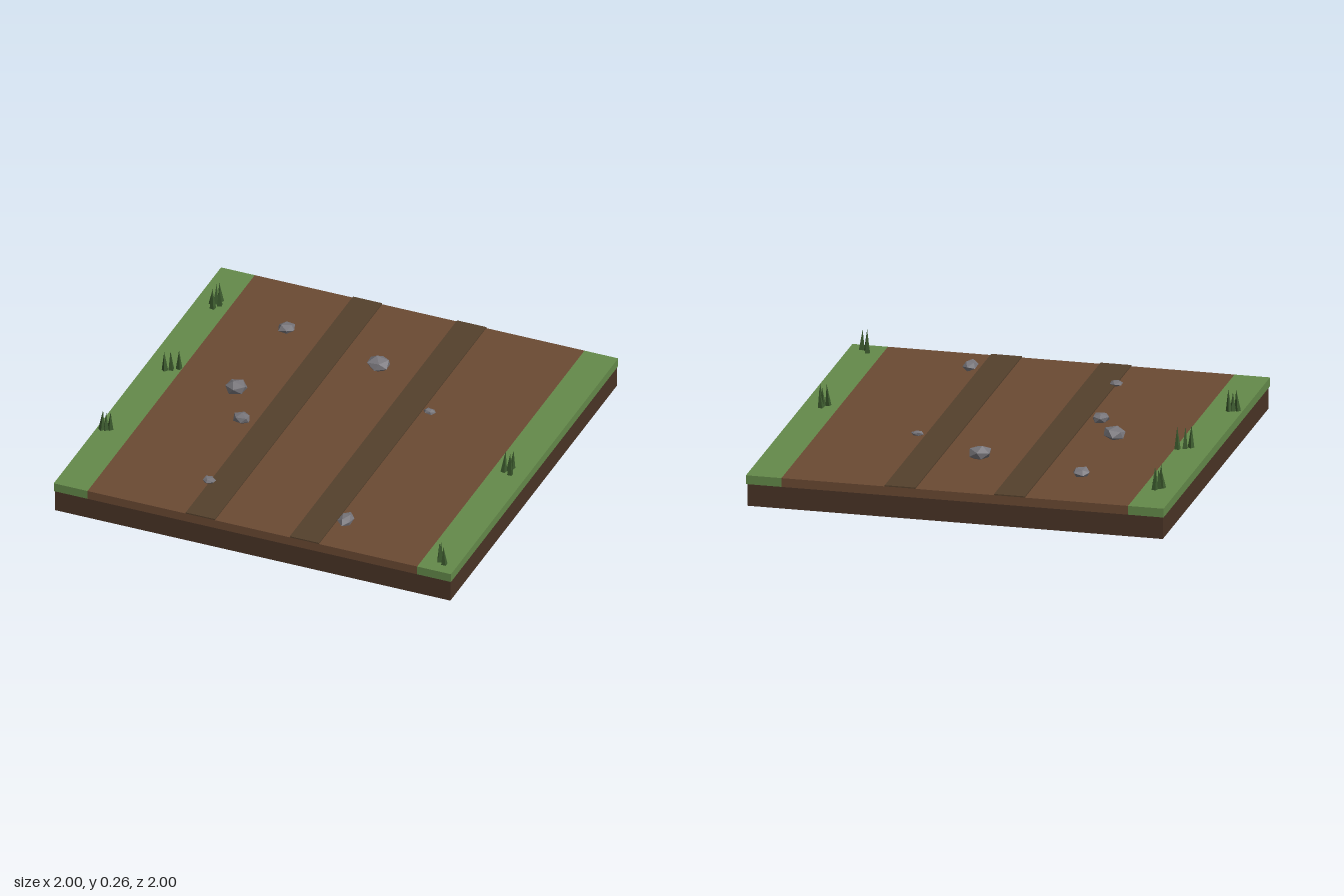
import * as THREE from 'three';

const paint = (color) => new THREE.MeshStandardMaterial({ color, flatShading: true });

export function createModel() {
  const model = new THREE.Group();
  const soil = paint(0x4a3426), dirt = paint(0x6b4a33), rut = paint(0x54402c);
  const turf = paint(0x648a4a), blade = paint(0x3c5a2e), rock = paint(0x77757a);

  let seed = 7;
  const rand = () => (seed = (seed * 16807) % 2147483647) / 2147483647;

  // Box given by its centre x, width, bottom, top and depth
  function slab(name, x, width, bottom, top, depth, material) {
    const mesh = new THREE.Mesh(new THREE.BoxGeometry(width, top - bottom, depth), material);
    mesh.name = name;
    mesh.position.set(x, (bottom + top) / 2, 0);
    model.add(mesh);
  }

  // Ground layers: soil block, dirt road, wheel ruts and grass verges
  slab('soilBase', 0, 1.99, 0, 0.107, 1.99, soil);
  slab('dirtRoad', 0, 1.66, 0.107, 0.15, 2, dirt);
  for (const side of [-1, 1]) {
    const label = side > 0 ? 'left' : 'right';
    slab(label + 'WheelRut', side * 0.262, 0.147, 0.145, 0.156, 2, rut);
    slab(label + 'GrassVerge', side * 0.915, 0.17, 0.107, 0.15, 2, turf);
  }

  // Faceted stone, its corners pushed in or out by their direction
  function stone(x, z, rx, ry, rz, turn) {
    const geometry = new THREE.IcosahedronGeometry(1, 0);
    const p = geometry.attributes.position, v = new THREE.Vector3();
    for (let i = 0; i < p.count; i++) {
      v.fromBufferAttribute(p, i);
      v.multiplyScalar(1 + 0.12 * Math.sin(v.x * 5 + v.y * 3 + v.z * 7 + turn * 4));
      p.setXYZ(i, v.x, v.y, v.z);
    }
    geometry.rotateX(turn * 0.7).rotateY(turn).scale(rx, ry, rz);
    geometry.computeVertexNormals();
    const mesh = new THREE.Mesh(geometry, rock);
    mesh.name = 'stone';
    mesh.position.set(x, 0.148 + ry * 0.8, z);
    model.add(mesh);
  }
  // x, z, radii and turn
  [
    [-0.51, -0.62, 0.042, 0.024, 0.042, 0.4],
    [0.01, -0.49, 0.06, 0.037, 0.058, 1.1],
    [0.375, -0.23, 0.029, 0.014, 0.02, 2.0],
    [-0.525, -0.055, 0.06, 0.035, 0.052, 2.6],
    [-0.4, 0.172, 0.043, 0.026, 0.042, 3.3],
    [-0.34, 0.71, 0.034, 0.016, 0.03, 4.1],
    [0.38, 0.78, 0.036, 0.024, 0.052, 5.2],
  ].forEach((s) => stone(...s));

  // Tufts: ground positions (x, z) of the blades in each clump
  const tufts = [
    [[-0.92, -0.7], [-0.89, -0.735], [-0.88, -0.7], [-0.9, -0.665], [-0.905, -0.71]],
    [[-0.9, -0.092], [-0.875, -0.108], [-0.845, -0.13]],
    [[-0.975, 0.488], [-0.955, 0.482], [-0.938, 0.472]],
    [[0.91, 0.055], [0.885, 0.095], [0.922, 0.107], [0.907, 0.08]],
    [[0.9, 0.892], [0.91, 0.918], [0.938, 0.932]],
  ];
  for (const blades of tufts) {
    const tuft = new THREE.Group();
    tuft.name = 'grassTuft';
    for (const [x, z] of blades) {
      const height = 0.08 + 0.032 * rand();
      const geometry = new THREE.ConeGeometry(0.016, height, 4).translate(0, height / 2, 0);
      const mesh = new THREE.Mesh(geometry, blade);
      mesh.name = 'grassBlade';
      mesh.position.set(x, 0.147, z);
      mesh.rotation.set((rand() - 0.5) * 0.25, rand() * 1.5, (rand() - 0.5) * 0.25);
      tuft.add(mesh);
    }
    model.add(tuft);
  }
  return model;
}
